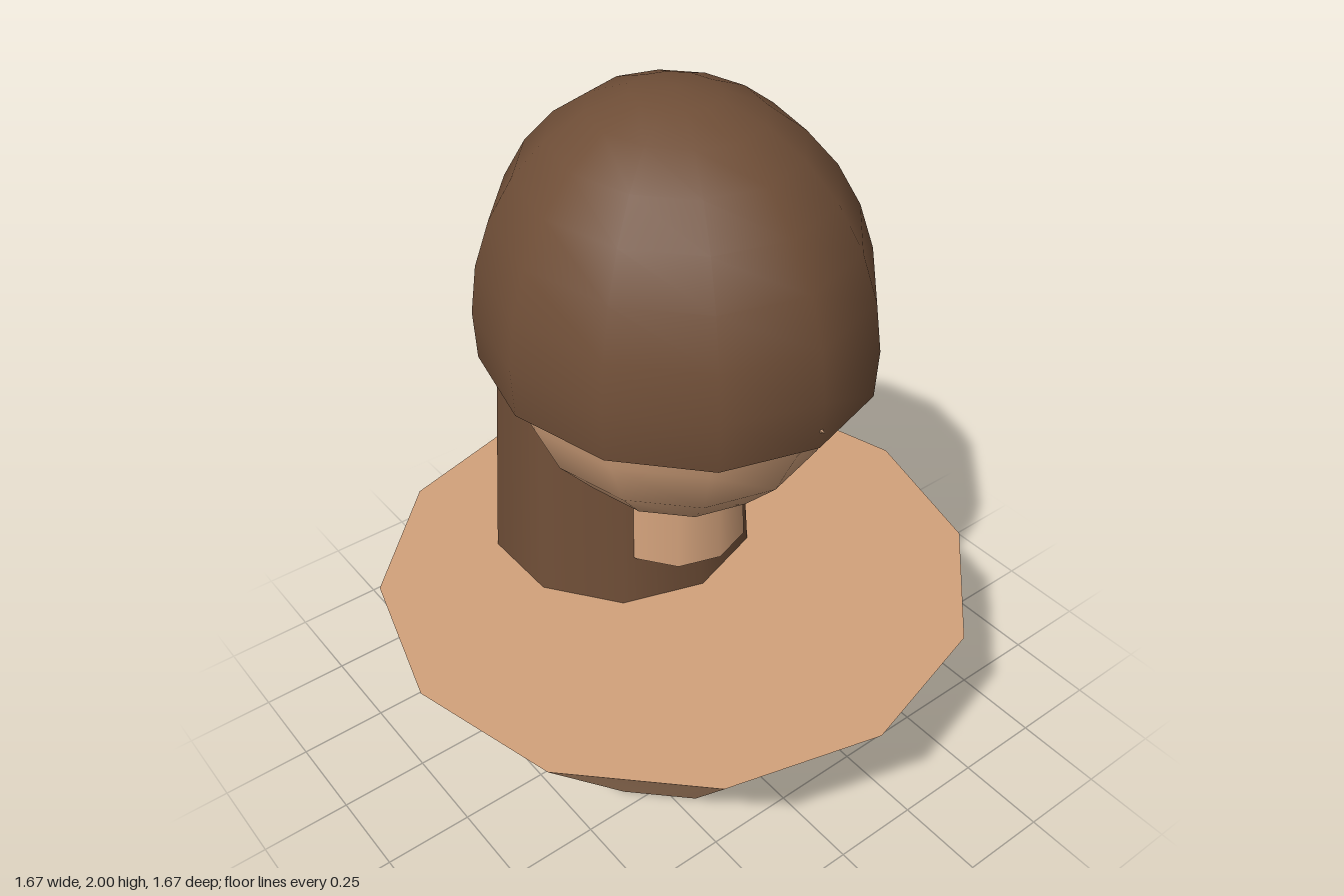
import * as THREE from 'three';

export function createModel() {
  const group = new THREE.Group();

  const skin = new THREE.MeshStandardMaterial({ color: 0xd2a17b });
  skin.name = 'skin';
  const hair = new THREE.MeshStandardMaterial({ color: 0x6f4e37, side: THREE.DoubleSide });
  hair.name = 'hair';

  function add(name, geometry, material, x, y, z) {
    const mesh = new THREE.Mesh(geometry, material);
    mesh.name = name;
    mesh.position.set(x, y, z);
    group.add(mesh);
    return mesh;
  }

  // Tapered cylinder standing between two heights
  function taper(name, material, rTop, rBottom, y0, y1, z, sides) {
    return add(name, new THREE.CylinderGeometry(rTop, rBottom, y1 - y0, sides),
      material, 0, (y0 + y1) / 2, z);
  }

  // Shoulders flaring upward from the foot of the bust
  taper('shoulders', skin, 0.835, 0.4, 0, 0.56, 0, 12);

  // Short neck below the head
  taper('neck', skin, 0.18, 0.195, 0.71, 1.0, 0, 10);

  // Long hair falling behind the head onto the shoulders
  taper('backHair', hair, 0.32, 0.38, 0.56, 1.43, -0.257, 10);

  // Head
  const headY = 1.386;
  add('head', new THREE.SphereGeometry(1, 12, 10), skin, 0, headY, 0)
    .scale.set(0.46, 0.53, 0.495);

  // Cap of hair, open underneath
  add('hairCap', new THREE.SphereGeometry(1, 12, 8, 0, Math.PI * 2, 0, Math.PI * 0.55),
    hair, 0, headY, 0).scale.set(0.495, 0.614, 0.55);

  // Nose, its tip just showing through the hair
  add('nose', new THREE.ConeGeometry(0.04, 0.1, 6), skin, 0, 1.34, 0.508)
    .rotation.x = Math.PI / 2;

  return group;
}
